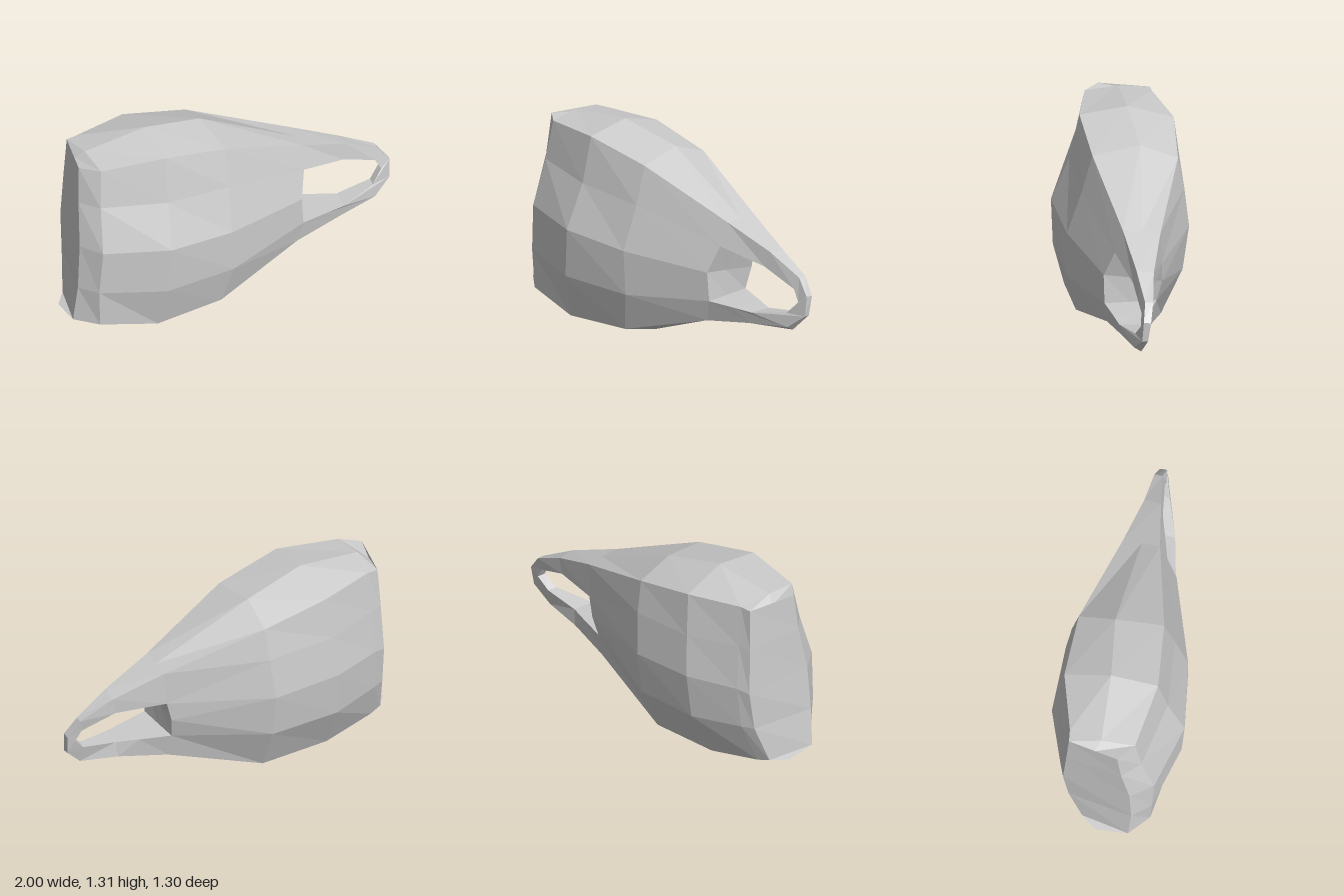
import * as THREE from 'three';

const material = new THREE.MeshStandardMaterial({ color: 0xcccccc, flatShading: true, side: THREE.DoubleSide });
const mid = (a, b) => a.map((v, i) => (v + b[i]) / 2);

// Skins a run of equal-length cross-sections; closed joins last point to first
function loft(sections, closed) {
  const out = [];
  for (let i = 0; i < sections.length - 1; i++) {
    const p = sections[i], q = sections[i + 1], n = p.length;
    for (let j = 0; j < (closed ? n : n - 1); j++) {
      const k = (j + 1) % n;
      out.push(p[j], p[k], q[k], p[j], q[k], q[j]);
    }
  }
  return out;
}

function makeMesh(name, points) {
  const g = new THREE.BufferGeometry();
  g.setAttribute('position', new THREE.Float32BufferAttribute(points.flat(), 3));
  g.computeVertexNormals();
  const mesh = new THREE.Mesh(g, material);
  mesh.name = name;
  return mesh;
}

// Front side of each ring, top to bottom, from the blunt end to the opening
const front = [
  [[-0.87, 1.245, 0.49], [-0.87, 1.0, 0.52], [-0.86, 0.71, 0.58], [-0.87, 0.41, 0.6], [-0.9, 0.165, 0.6]],
  [[-0.73, 1.245, 0.52], [-0.73, 1.0, 0.57], [-0.71, 0.71, 0.655], [-0.735, 0.41, 0.655], [-0.73, 0.16, 0.64]],
  [[-0.34, 1.265, 0.39], [-0.32, 0.97, 0.45], [-0.29, 0.685, 0.56], [-0.32, 0.37, 0.56], [-0.38, 0.085, 0.51]],
  [[0.02, 1.175, 0.15], [0.05, 0.93, 0.21], [0.07, 0.645, 0.3], [0.08, 0.36, 0.29], [0, 0.105, 0.27]],
  [[0.48, 0.925, -0.25], [0.49, 0.775, -0.2], [0.48, 0.605, -0.12], [0.49, 0.42, -0.13], [0.45, 0.28, -0.13]],
];
// Back side of each ring, top to bottom
const back = [
  [[-0.96, 1.235, 0.18], [-0.98, 0.97, 0.175], [-1, 0.66, 0.165], [-0.99, 0.4, 0.2], [-0.98, 0.15, 0.3]],
  [[-0.9, 1.24, 0.14], [-0.92, 0.97, 0.12], [-0.945, 0.68, 0.1], [-0.94, 0.4, 0.13], [-0.92, 0.13, 0.24]],
  [[-0.63, 1.22, -0.12], [-0.67, 0.95, -0.14], [-0.71, 0.68, -0.155], [-0.7, 0.38, -0.12], [-0.64, 0.07, 0.03]],
  [[-0.25, 1.13, -0.31], [-0.28, 0.92, -0.34], [-0.32, 0.65, -0.355], [-0.3, 0.36, -0.32], [-0.24, 0.065, -0.2]],
  [[0.38, 0.91, -0.46], [0.36, 0.69, -0.46], [0.33, 0.56, -0.45], [0.33, 0.42, -0.41], [0.35, 0.26, -0.38]],
];
// Centre points along the top and the bottom
const last = front.length - 1;
const topRidge = [[-0.91, 1.22, 0.34], [-0.84, 1.265, 0.34], [-0.48, 1.31, 0.13], [-0.15, 1.22, -0.1],
  mid(front[last][0], back[last][0])];
const bottomRidge = [[-1, 0.145, 0.42], [-0.9, 0.09, 0.46], [-0.52, 0, 0.27], [-0.14, 0.03, 0.04],
  mid(front[last][4], back[last][4])];

// Sections of the loop: front outer, front inner, back inner, back outer
const loopSections = [
  [front[last][0], front[last][1], back[last][1], back[last][0]],
  [[0.74, 0.8, -0.45], [0.72, 0.7, -0.42], [0.68, 0.68, -0.54], [0.7, 0.785, -0.55]],
  [[0.92, 0.68, -0.585], [0.91, 0.605, -0.555], [0.89, 0.6, -0.61], [0.9, 0.68, -0.63]],
  [[1, 0.58, -0.61], [0.95, 0.53, -0.57], [0.93, 0.53, -0.62], [0.98, 0.575, -0.65]],
  [[1, 0.45, -0.6], [0.9, 0.45, -0.51], [0.88, 0.45, -0.57], [0.98, 0.45, -0.63]],
  [[0.915, 0.36, -0.51], [0.73, 0.41, -0.33], [0.68, 0.41, -0.46], [0.9, 0.335, -0.55]],
  [[0.7, 0.33, -0.33], [0.62, 0.415, -0.24], [0.53, 0.415, -0.44], [0.66, 0.305, -0.46]],
  [front[last][4], front[last][3], back[last][3], back[last][4]],
];

export function createModel() {
  const group = new THREE.Group();
  group.name = 'taperedHead';

  // Main body, widest near the blunt end
  const rings = front.map((f, i) => [...f, bottomRidge[i], ...[...back[i]].reverse(), topRidge[i]]);
  group.add(makeMesh('body', loft(rings, true)));

  // Blunt end face
  const f = front[0], b = back[0];
  group.add(makeMesh('endFace', [
    ...loft([b, f], false),
    topRidge[0], b[0], f[0],
    bottomRidge[0], f[4], b[4],
  ]));

  // Tapered loop around the opening
  group.add(makeMesh('loop', loft(loopSections, true)));

  // Inner wall of the opening, where the body ends
  const fw = front[last].slice(1, 4), bw = back[last].slice(1, 4);
  const cw = fw.map((p, i) => mid(p, bw[i]));
  cw[1] = [0.41, 0.585, -0.26];
  group.add(makeMesh('openingWall', loft([fw, cw, bw], false)));

  return group;
}
